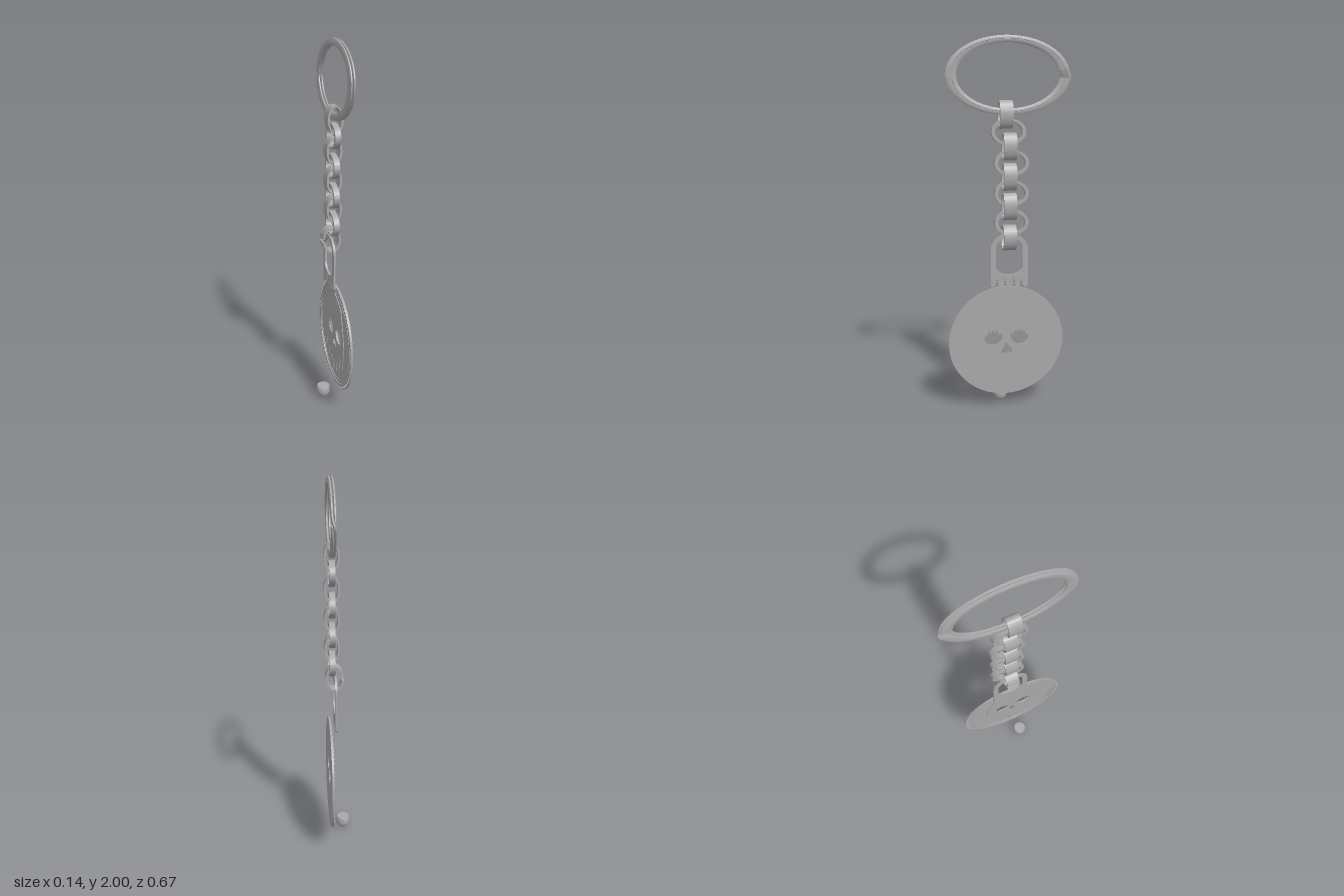
import * as THREE from 'three';
import { toCreasedNormals, mergeGeometries } from 'three/addons/utils/BufferGeometryUtils.js';

const steel = new THREE.MeshStandardMaterial({ color: 0xa8a8a8 });
steel.name = 'steel';

const TAU = Math.PI * 2;

function addMesh(parent, name, geometry) {
  const mesh = new THREE.Mesh(toCreasedNormals(geometry, 0.6), steel);
  mesh.name = name;
  parent.add(mesh);
  return mesh;
}

function ellipse(cx, cy, rx, ry, Type = THREE.Shape) {
  return new Type().absellipse(cx, cy, rx, ry, 0, TAU, false);
}

function ellipseBand(cx, cy, rx, ry, tx, ty) {
  const shape = ellipse(cx, cy, rx, ry);
  shape.holes.push(ellipse(cx, cy, rx - tx, ry - ty, THREE.Path));
  return shape;
}

function extrude(shape, start, depth, curveSegments = 24) {
  return new THREE.ExtrudeGeometry(shape, { depth, bevelEnabled: false, curveSegments })
    .translate(0, 0, start);
}

// Shapes for sideways parts are drawn as (-z, y) and extruded along +x
const sideways = (shape, x, depth, seg) => extrude(shape, x, depth, seg).rotateY(Math.PI / 2);

const points = list => list.map(([u, v]) => new THREE.Vector2(u, v));

// Double coil swept around an ellipse, stepping from one layer to the next
function splitRingGeometry() {
  const section = [[1, -0.4], [1, 0.4], [0.6, 1], [0.1, 1], [0, 0.75], [-0.1, 1],
    [-0.6, 1], [-1, 0.4], [-1, -0.4], [-0.6, -1], [0.6, -1]];
  const n = 192, m = section.length, t0 = 0.06, t1 = 2 * TAU - 0.06;
  const pos = [], index = [];
  for (let i = 0; i <= n; i++) {
    const t = t0 + (t1 - t0) * i / n;
    const step = THREE.MathUtils.smoothstep(t, TAU - 0.25, TAU + 0.25);
    const flare = 0.012 * Math.exp(-(((t - TAU + 0.08) / 0.14) ** 2));
    for (const [r, w] of section) {
      const z = -(0.297 + flare + 0.028 * r) * Math.cos(t);
      const y = (0.183 + 0.017 * r) * Math.sin(t);
      pos.push(0.033 - 0.012 * z + 0.015 * y + (step - 0.5) * 0.015 + 0.0075 * w, 1.8 + y, z);
    }
  }
  for (let i = 0; i < n; i++) {
    for (let j = 0; j < m; j++) {
      const a = i * m + j, b = i * m + (j + 1) % m;
      index.push(a, a + m, b + m, a, b + m, b);
    }
  }
  for (let j = 1; j < m - 1; j++) {
    index.push(0, j, j + 1, n * m, n * m + j + 1, n * m + j);
  }
  const g = new THREE.BufferGeometry();
  g.setAttribute('position', new THREE.Float32BufferAttribute(pos, 3));
  g.setIndex(index);
  g.computeVertexNormals();
  return g;
}

function buildChain() {
  const chain = new THREE.Group();
  chain.name = 'chain';
  // Wide links lying across the model
  [1.603, 1.437, 1.278, 1.12].forEach((y, i) => {
    const z = i === 0 ? 0.013 : -0.008;
    addMesh(chain, 'crossLink', extrude(ellipseBand(0.028, y, 0.042, 0.073, 0.011, 0.009), z - 0.035, 0.07));
  });
  // Narrow links facing sideways
  [1.515, 1.352, 1.192, 1.035].forEach((y, i) => {
    const u = i === 0 ? 0.002 : 0.018;
    addMesh(chain, 'sideLink', sideways(ellipseBand(u, y, 0.093, 0.068, 0.02, 0.012), 0.014, 0.031));
  });
  // Open last link with its gap towards -x
  const gap = 0.16, open = new THREE.Shape();
  open.absellipse(0.015, 0.95, 0.05, 0.07, -Math.PI + gap, Math.PI - gap, false);
  open.absellipse(0.015, 0.95, 0.039, 0.061, Math.PI - gap, -Math.PI + gap, true);
  addMesh(chain, 'openLink', extrude(open, -0.043, 0.07));
  return chain;
}

// Arched hanger with a window and a dripping lower edge
function buildHanger() {
  const c = 0.01, w = 0.104;
  const s = new THREE.Shape();
  s.moveTo(c - w, 0.69);
  for (const [u, v] of [[-0.09, 0.672], [-0.075, 0.69], [-0.068, 0.725], [-0.062, 0.685],
    [-0.045, 0.665], [-0.028, 0.685], [-0.024, 0.73], [-0.018, 0.69], [0, 0.668],
    [0.02, 0.688], [0.025, 0.73], [0.031, 0.685], [0.048, 0.665], [0.06, 0.685],
    [0.066, 0.72], [0.072, 0.69], [0.09, 0.667], [w, 0.68]]) s.lineTo(c + u, v);
  s.lineTo(c + w, 0.88);
  s.absellipse(c, 0.88, w, 0.092, 0, Math.PI, false);
  const hole = new THREE.Path();
  hole.absellipse(c, 0.885, 0.074, 0.066, 0, Math.PI, false);
  hole.absellipse(c, 0.795, 0.074, 0.052, Math.PI, TAU, false);
  s.holes.push(hole);
  return sideways(s, 0.006, 0.011);
}

function faceHoles() {
  const eye = [[-0.135, 0.40], [-0.13, 0.376], [-0.11, 0.359], [-0.085, 0.354], [-0.06, 0.362],
    [-0.042, 0.382], [-0.035, 0.407], [-0.044, 0.425], [-0.053, 0.41], [-0.06, 0.434],
    [-0.07, 0.436], [-0.075, 0.418], [-0.082, 0.44], [-0.092, 0.438], [-0.098, 0.42],
    [-0.105, 0.437], [-0.114, 0.428], [-0.12, 0.412]];
  const nose = [[-0.012, 0.37], [-0.026, 0.345], [-0.04, 0.325], [-0.038, 0.307], [-0.028, 0.302],
    [-0.02, 0.325], [-0.013, 0.30], [-0.004, 0.325], [0.004, 0.303], [0.015, 0.306],
    [0.016, 0.33], [0.003, 0.347]];
  const mirrored = eye.map(([u, v]) => [-0.025 - u, v]);
  return [eye, mirrored, nose].map(p => new THREE.Path(points(p)));
}

function buildMedallion() {
  const g = new THREE.Group();
  g.name = 'medallion';
  const u = -0.011, y = 0.378, a = 0.318, b = 0.308;

  // Backing plate pierced by the eyes and nose
  const plate = ellipse(u, y, a, b);
  plate.holes.push(...faceHoles());
  addMesh(g, 'plate', sideways(plate, 0.039, 0.006, 48));

  // Raised rim and inner bead on the -x face
  addMesh(g, 'rim', sideways(ellipseBand(u, y, a, b, 0.028, 0.028), 0.034, 0.005, 48));
  addMesh(g, 'innerBead', sideways(ellipseBand(u, y, 0.276, 0.267, 0.008, 0.008), 0.0365, 0.0025, 48));

  // Fine notches around the edge
  const teeth = [];
  for (let i = 0; i < 84; i++) {
    const t = i / 84 * TAU;
    teeth.push(new THREE.BoxGeometry(0.004, 0.01, 0.011).rotateX(t)
      .translate(0.0335, y + (b - 0.007) * Math.sin(t), -u + (a - 0.007) * Math.cos(t)));
  }
  addMesh(g, 'edgeNotches', mergeGeometries(teeth));

  // Melting skull relief
  const skull = new THREE.Shape();
  skull.moveTo(u - 0.165, 0.43);
  skull.bezierCurveTo(u - 0.18, 0.70, u + 0.18, 0.70, u + 0.165, 0.43);
  skull.splineThru(points([[0.175, 0.36], [0.165, 0.29], [0.152, 0.24], [0.143, 0.29], [0.125, 0.30],
    [0.115, 0.25], [0.105, 0.19], [0.095, 0.25], [0.075, 0.245], [0.062, 0.17], [0.05, 0.23],
    [0.03, 0.22], [0.018, 0.125], [0.004, 0.21], [-0.02, 0.235], [-0.035, 0.155], [-0.05, 0.225],
    [-0.075, 0.25], [-0.09, 0.18], [-0.105, 0.26], [-0.13, 0.295], [-0.147, 0.22],
    [-0.163, 0.29], [-0.175, 0.36], [-0.165, 0.43]].map(([p, v]) => [u + p, v])));
  skull.holes.push(...faceHoles());
  addMesh(g, 'skullRelief', sideways(skull, 0.035, 0.004, 4));
  return g;
}

export function createModel() {
  const model = new THREE.Group();
  model.name = 'keychain';
  addMesh(model, 'splitRing', splitRingGeometry());
  model.add(buildChain());
  addMesh(model, 'hanger', buildHanger());
  model.add(buildMedallion());

  // Loose round-ended stud
  const profile = [[0, 0]];
  for (let i = 1; i <= 8; i++) {
    const t = i / 8 * Math.PI / 2;
    profile.push([0.037 * Math.sin(t), 0.037 - 0.037 * Math.cos(t)]);
  }
  profile.push([0.037, 0.066], [0.034, 0.071], [0, 0.071]);
  addMesh(model, 'stud', new THREE.LatheGeometry(points(profile), 32).translate(-0.037, 0, 0.033));
  return model;
}
